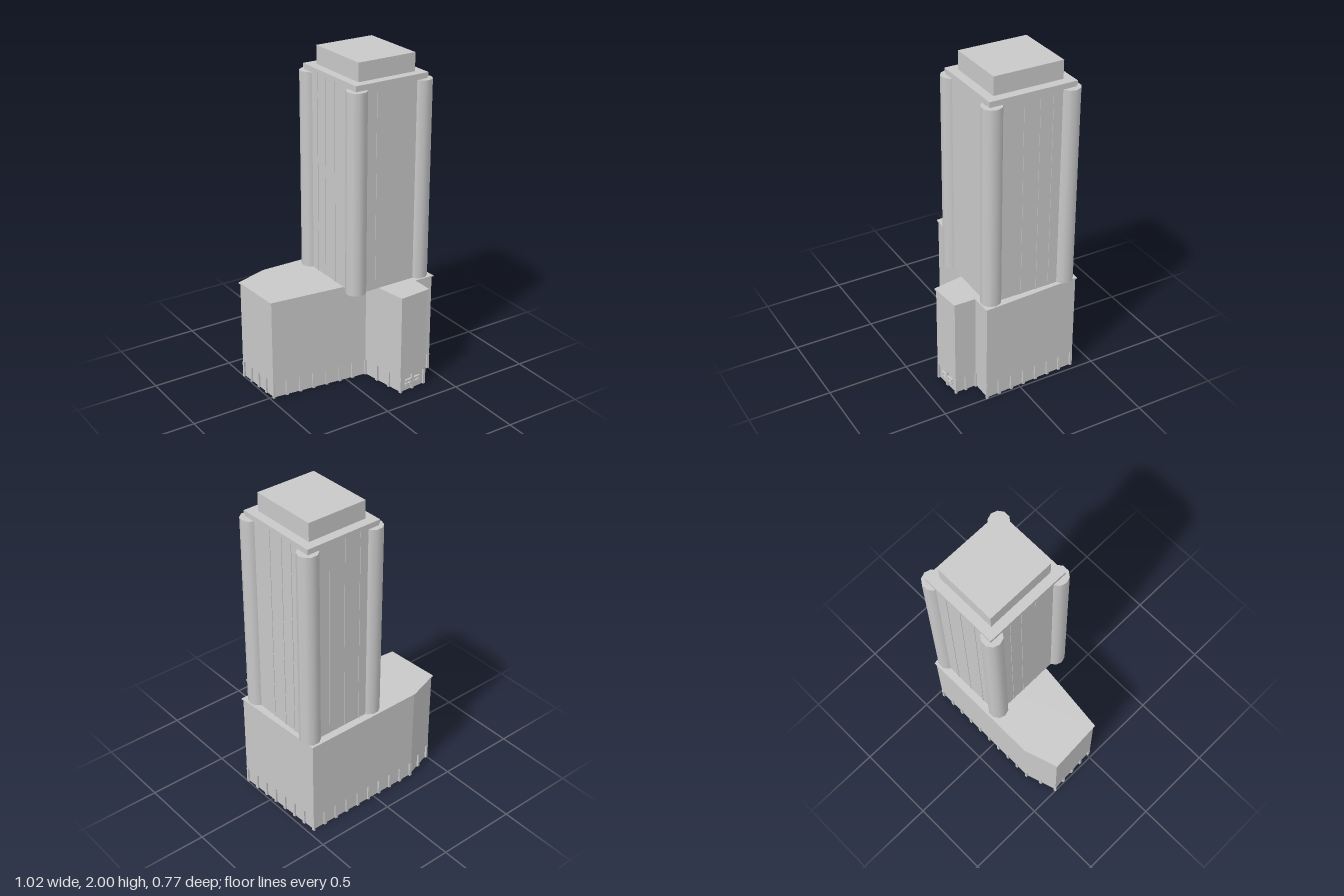
import * as THREE from 'three';

// Podium outline as [x, z], clockwise seen from above
const OUTLINE = [
  [-0.5085, -0.3185], [-0.3015, -0.3855], [0.4765, -0.3855], [0.5085, 0.2355], [0.3775, 0.2355],
  [0.3775, 0.3685], [0.1715, 0.3855], [0.1215, 0.0885], [-0.4895, 0.0215],
];

// Move every edge of the outline inwards by d
function inset(points, d) {
  const n = points.length;
  const normal = (i) => {
    const a = points[i % n], b = points[(i + 1) % n];
    const l = Math.hypot(b[0] - a[0], b[1] - a[1]);
    return [-(b[1] - a[1]) / l, (b[0] - a[0]) / l];
  };
  return points.map((p, i) => {
    const u = normal(i + n - 1), v = normal(i);
    const k = d / (1 + u[0] * v[0] + u[1] * v[1]);
    return [p[0] + (u[0] + v[0]) * k, p[1] + (u[1] + v[1]) * k];
  });
}

// Upright prism over an outline, optionally hollow
function prism(points, y0, y1, hole) {
  const toVec = (p) => new THREE.Vector2(p[0], -p[1]);
  const shape = new THREE.Shape(points.map(toVec));
  if (hole) shape.holes.push(new THREE.Path(hole.map(toVec).reverse()));
  const g = new THREE.ExtrudeGeometry(shape, { depth: y1 - y0, bevelEnabled: false });
  return g.rotateX(-Math.PI / 2).translate(0, y0, 0);
}

// Box given by its limits
function box(x0, x1, y0, y1, z0, z1) {
  return new THREE.BoxGeometry(x1 - x0, y1 - y0, z1 - z0)
    .translate((x0 + x1) / 2, (y0 + y1) / 2, (z0 + z1) / 2);
}

export function createModel() {
  const model = new THREE.Group();
  const concrete = new THREE.MeshStandardMaterial({ color: 0xc8c8c8 });
  const add = (name, geometry, parent = model) => {
    const mesh = new THREE.Mesh(geometry, concrete);
    mesh.name = name;
    parent.add(mesh);
    return mesh;
  };
  const group = (name) => {
    const g = new THREE.Group();
    g.name = name;
    model.add(g);
    return g;
  };

  // Podium block with a thin projecting roof edge
  add('podium', prism(inset(OUTLINE, 0.007), 0.104, 0.63));
  add('podiumRoofEdge', prism(OUTLINE, 0.627, 0.635));

  // Hollow, slightly recessed ground storey, open underneath
  add('groundStorey', prism(inset(OUTLINE, 0.018), 0, 0.105, inset(OUTLINE, 0.024)));

  // Pilasters at an even pitch along every ground storey wall
  const pilasters = group('pilasters');
  const line = inset(OUTLINE, 0.013);
  line.forEach((a, i) => {
    const b = line[(i + 1) % line.length];
    const dx = b[0] - a[0], dz = b[1] - a[1];
    const bays = Math.max(1, Math.round(Math.hypot(dx, dz) / 0.088));
    for (let k = 0; k < bays; k++) {
      const p = add('pilaster', new THREE.BoxGeometry(0.016, 0.104, 0.012), pilasters);
      p.position.set(a[0] + dx * k / bays, 0.052, a[1] + dz * k / bays);
      p.rotation.y = Math.atan2(-dz, dx);
    }
  });

  // Small entrance frames on the front bay
  const entrance = group('entrance');
  entrance.position.set(0.274, 0, 0.361);
  entrance.rotation.y = Math.atan2(0.017, 0.206);
  for (const s of [-1, 1]) {
    for (const y of [0.045, 0.07]) {
      add('entranceBar', box(s * 0.03 - 0.024, s * 0.03 + 0.024, y - 0.004, y + 0.004, -0.004, 0.01), entrance);
    }
    for (const x of [0.014, 0.044]) {
      add('entrancePost', box(s * x - 0.004, s * x + 0.004, 0.03, 0.07, -0.004, 0.008), entrance);
    }
  }

  // Tower shaft, barely projecting cornice and penthouse
  add('towerShaft', box(-0.025, 0.456, 0.632, 1.87, -0.339, 0.191));
  add('cornice', box(-0.029, 0.46, 1.866, 1.89, -0.343, 0.195));
  add('penthouse', box(0.025, 0.406, 1.89, 2, -0.287, 0.141));

  // Round corner columns
  const columns = group('cornerColumns');
  for (const x of [-0.004, 0.436]) {
    for (const z of [-0.3125, 0.1675]) {
      const c = add('cornerColumn', new THREE.CylinderGeometry(0.061, 0.061, 1.22, 10), columns);
      c.rotation.y = Math.PI / 2;
      c.position.set(x, 1.245, z);
    }
  }

  // Shallow facade relief: a broad front panel and slim ribs on the other sides
  const relief = group('facadeRelief');
  add('frontPanel', box(0.115, 0.42, 0.635, 1.868, 0.18, 0.194), relief);
  for (const z of [-0.2, -0.12, -0.02]) {
    add('sideRib', box(-0.028, 0.459, 0.635, 1.868, z - 0.004, z + 0.004), relief);
  }
  for (const x of [0.1, 0.205, 0.31]) {
    add('backRib', box(x - 0.004, x + 0.004, 0.635, 1.868, -0.342, -0.33), relief);
  }
  return model;
}
